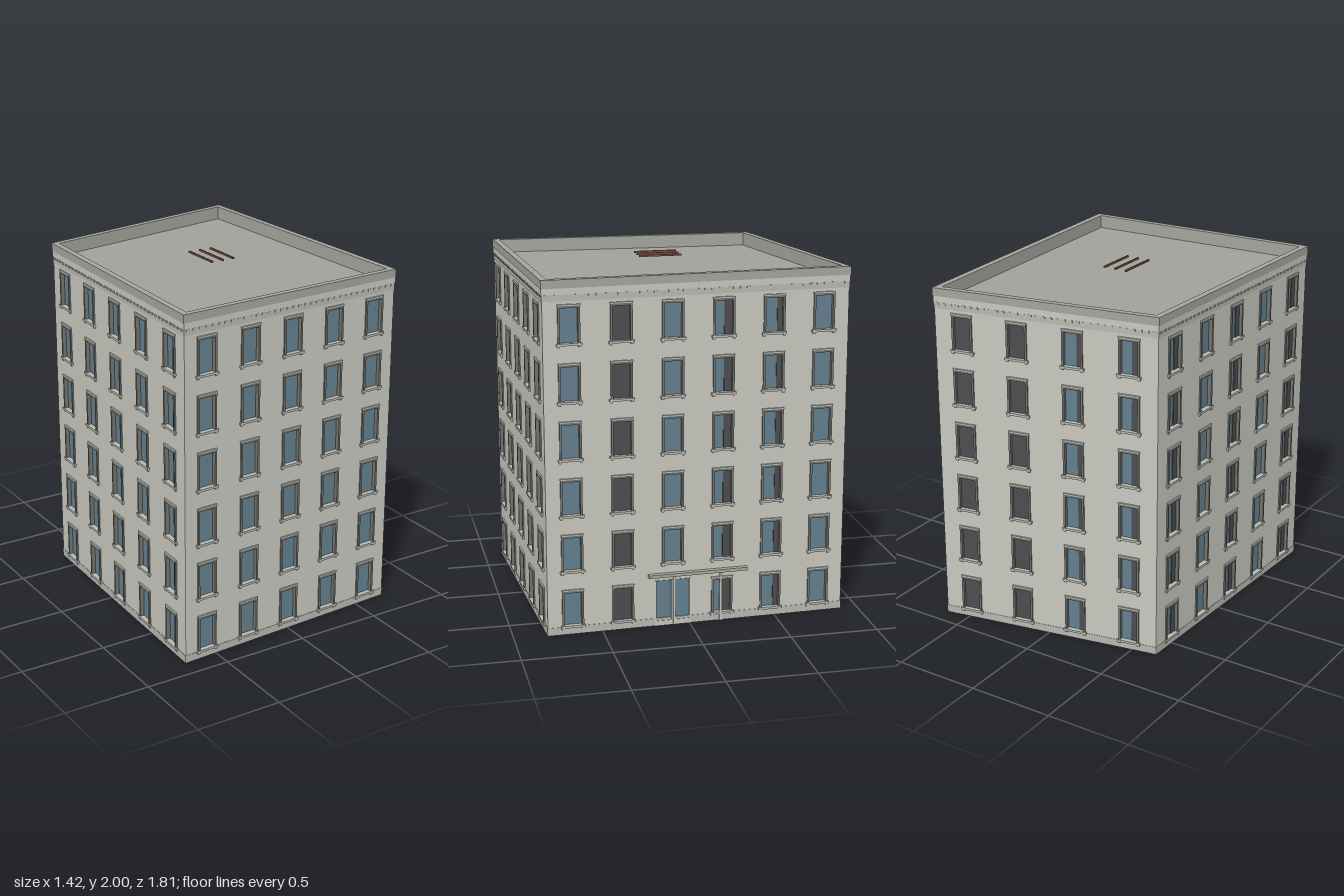
import * as THREE from 'three';
import { mergeGeometries } from 'three/addons/utils/BufferGeometryUtils.js';

const HEIGHT = 1.99, ROOF = 1.92;
const FLOORS = 6, PITCH = 0.32, FIRST = 0.05;
const WIN_W = 0.122, WIN_H = 0.205;

// Footprint corners (x, z), running front, right, back, left
const PLAN = [[-0.7, 0.89], [0.7, 0.81], [0.643, -0.9], [-0.643, -0.658]];

// Columns per wall, with the share of each window hidden by a dark blind
const WALLS = [
  { name: 'front', blinds: [0, 0, 0, 0, 0] },
  { name: 'right', blinds: [0, 1, 0, 0.45, 0.3, 0], doorColumn: 2 },
  { name: 'back', blinds: [1, 1, 0.3, 0.4] },
  { name: 'left', blinds: [0.4, 0, 0.4, 0, 0.4] },
];

const mat = (color) => new THREE.MeshStandardMaterial({ color, side: THREE.DoubleSide });
const M = {
  wall: mat(0xc9c9c1), trim: mat(0xb9b9b2), cap: mat(0xa6a6a0), roof: mat(0xa2a29b),
  frame: mat(0x74746f), glass: mat(0x64808f), blind: mat(0x4c4d4f),
  canopy: mat(0xa9aa9c), rust: mat(0x77543f),
};

function mesh(name, geometry, material) {
  const m = new THREE.Mesh(geometry, material);
  m.name = name;
  return m;
}

function box(w, h, d, x, y, z) {
  return new THREE.BoxGeometry(w, h, d).translate(x, y, z);
}

// Footprint moved inward by d (outward when negative), mitred at the corners
function inset(d) {
  const n = PLAN.length;
  const normal = (i) => {
    const [ax, az] = PLAN[i], [bx, bz] = PLAN[(i + 1) % n];
    const l = Math.hypot(bx - ax, bz - az);
    return [(bz - az) / l, -(bx - ax) / l];
  };
  return PLAN.map(([x, z], i) => {
    const p = normal((i + n - 1) % n), q = normal(i);
    const k = d / (1 + p[0] * q[0] + p[1] * q[1]);
    return [x + (p[0] + q[0]) * k, z + (p[1] + q[1]) * k];
  });
}

const outline = (pts) => pts.map(([x, z]) => new THREE.Vector2(x, -z));

// Horizontal band around the building between two heights
function ring(name, outer, inner, y0, y1, material) {
  const shape = new THREE.Shape(outline(inset(outer)));
  shape.holes.push(new THREE.Path(outline(inset(inner))));
  const g = new THREE.ExtrudeGeometry(shape, { depth: y1 - y0, bevelEnabled: false });
  return mesh(name, g.rotateX(-Math.PI / 2).translate(0, y0, 0), material);
}

function rectHole(x, y, w, h) {
  return new THREE.Path([[-1, 0], [-1, 1], [1, 1], [1, 0]]
    .map(([sx, sy]) => new THREE.Vector2(x + sx * w / 2, y + sy * h)));
}

// One window around its bottom centre; z points outward
function addWindow(parts, x, y, blind) {
  const w = WIN_W, h = WIN_H;
  for (const s of [-1, 1]) {
    parts.windowFrames.push(box(0.012, h, 0.03, x + s * (w / 2 - 0.006), y + h / 2, -0.007));
  }
  parts.windowFrames.push(box(w, 0.012, 0.03, x, y + h - 0.006, -0.007));
  parts.windowLintels.push(box(w + 0.004, 0.008, 0.018, x, y + h + 0.004, 0));
  parts.windowSills.push(box(w + 0.018, 0.013, 0.034, x, y - 0.004, -0.004));
  for (const s of [-1, 1]) {
    parts.windowSills.push(box(0.014, 0.012, 0.01, x + s * (w / 2 - 0.004), y - 0.014, 0.004));
  }
  const clear = w - 0.024;
  parts.windowGlass.push(box(clear, h - 0.012, 0.004, x, y + (h - 0.012) / 2, -0.018));
  if (blind) {
    const bw = clear * blind;
    parts.windowBlinds.push(box(bw, h - 0.012, 0.004, x + (clear - bw) / 2, y + (h - 0.012) / 2, -0.013));
  }
}

// Double glass door with a canopy and two slim posts
function addEntrance(parts, x) {
  for (const s of [-1, 1]) {
    parts.doorGlass.push(box(0.086, 0.235, 0.004, x + s * 0.053, 0.148, -0.006));
    parts.doorFrame.push(box(0.008, 0.27, 0.02, x + s * 0.1, 0.135, -0.005));
  }
  parts.doorFrame.push(box(0.02, 0.27, 0.02, x, 0.135, -0.005));
  parts.doorFrame.push(box(0.2, 0.03, 0.02, x, 0.015, -0.005));
  const c = x + 0.143;
  parts.canopy.push(box(0.57, 0.018, 0.03, c, 0.302, 0.013));
  for (const s of [-1, 1]) parts.canopyPosts.push(box(0.014, 0.293, 0.008, c + s * 0.135, 0.147, 0.005));
}

function buildWall({ name, blinds, doorColumn }, a, b) {
  const group = new THREE.Group();
  group.name = name + 'Wall';
  const dx = b[0] - a[0], dz = b[1] - a[1], length = Math.hypot(dx, dz);
  group.position.set(a[0], 0, a[1]);
  group.rotation.y = Math.atan2(-dz, dx);

  const parts = {
    windowFrames: [], windowLintels: [], windowSills: [], windowGlass: [], windowBlinds: [],
    doorGlass: [], doorFrame: [], canopy: [], canopyPosts: [], dentils: [],
  };
  const shape = new THREE.Shape([[0, 0], [length, 0], [length, HEIGHT], [0, HEIGHT]]
    .map((p) => new THREE.Vector2(...p)));
  const bay = length / blinds.length;
  blinds.forEach((blind, col) => {
    const x = (col + 0.5) * bay;
    for (let floor = 0; floor < FLOORS; floor++) {
      const y = FIRST + floor * PITCH;
      if (floor === 0 && col === doorColumn) {
        shape.holes.push(rectHole(x, 0.002, 0.2, 0.266));
        addEntrance(parts, x);
      } else {
        shape.holes.push(rectHole(x, y, WIN_W, WIN_H));
        addWindow(parts, x, y, blind);
      }
    }
  });

  // Small blocks under the cornice
  const count = Math.round(length / 0.04);
  for (let i = 0; i < count; i++) {
    parts.dentils.push(box(0.018, 0.012, 0.006, (i + 0.5) * length / count, 1.909, 0.003));
  }

  const materials = {
    windowFrames: M.frame, windowLintels: M.trim, windowSills: M.trim, windowGlass: M.glass,
    windowBlinds: M.blind, doorGlass: M.glass, doorFrame: M.wall, canopy: M.canopy,
    canopyPosts: M.wall, dentils: M.trim,
  };
  group.add(mesh('wallPanel', new THREE.ShapeGeometry(shape), M.wall));
  for (const [key, list] of Object.entries(parts)) {
    if (list.length) group.add(mesh(key, mergeGeometries(list), materials[key]));
  }
  return group;
}

export function createModel() {
  const model = new THREE.Group();
  model.name = 'apartmentBuilding';

  WALLS.forEach((wall, i) => model.add(buildWall(wall, PLAN[i], PLAN[(i + 1) % 4])));

  // Base, cornice and parapet bands
  model.add(
    ring('plinth', -0.002, 0.012, 0, 0.045, M.trim),
    ring('lowerCornice', -0.002, 0.01, 1.88, 1.915, M.trim),
    ring('upperCornice', -0.004, 0.01, 1.915, 1.95, M.wall),
    ring('parapet', -0.006, 0.03, 1.95, 1.996, M.cap),
    ring('parapetLining', 0.004, 0.03, ROOF - 0.01, 1.95, M.cap),
  );

  // Sunken flat roof
  const roof = new THREE.ShapeGeometry(new THREE.Shape(outline(inset(0.01))));
  model.add(mesh('roof', roof.rotateX(-Math.PI / 2).translate(0, ROOF, 0), M.roof));

  // Three bars level with the parapet
  const bars = [-0.07, 0, 0.07].map((x) => box(0.011, 0.01, 0.245, x, 1.995, 0.036));
  model.add(mesh('roofBars', mergeGeometries(bars), M.rust));

  return model;
}
